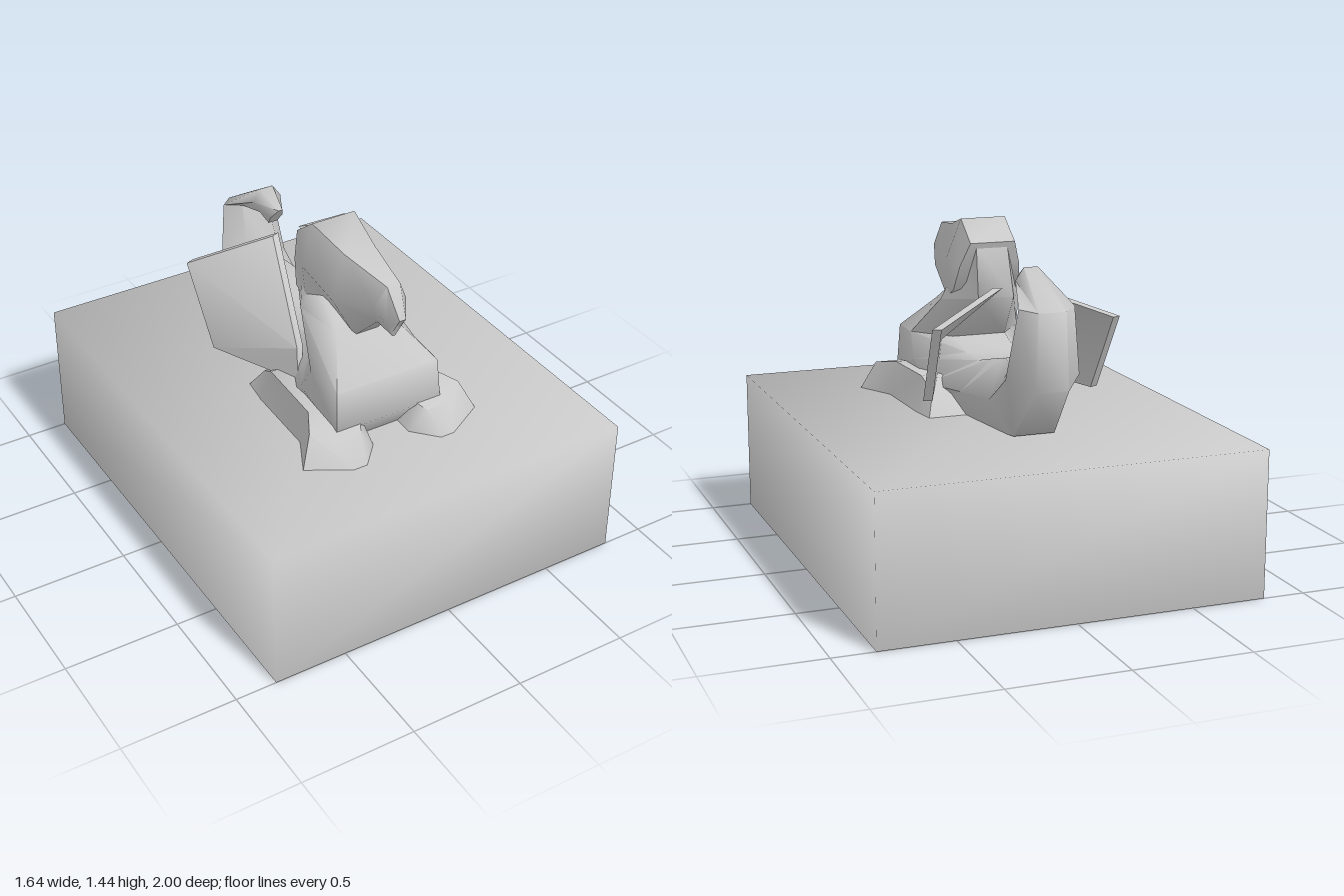
import * as THREE from 'three';
import { mergeVertices, toCreasedNormals } from 'three/addons/utils/BufferGeometryUtils.js';

// Closed mesh from corner points and triangles; winding is turned outward by signed volume.
function solid(points, tris, crease) {
  const v = points.map(p => new THREE.Vector3(...p));
  const volume = tris.reduce((s, [a, b, c]) => s + v[a].dot(v[b].clone().cross(v[c])), 0);
  const index = tris.flatMap(([a, b, c]) => (volume < 0 ? [a, c, b] : [a, b, c]));
  const g = new THREE.BufferGeometry();
  g.setAttribute('position', new THREE.Float32BufferAttribute(points.flat(), 3));
  g.setIndex(index);
  g.computeVertexNormals();
  return crease ? toCreasedNormals(g, crease) : g;
}

// Skin over a row of rings that share the same number of points.
function loft(rings, crease) {
  const n = rings[0].length, last = (rings.length - 1) * n, tris = [];
  for (let r = 0; r < rings.length - 1; r++) {
    for (let i = 0; i < n; i++) {
      const a = r * n + i, b = r * n + (i + 1) % n;
      tris.push([a, b, a + n], [b, b + n, a + n]);
    }
  }
  for (let i = 1; i < n - 1; i++) tris.push([0, i + 1, i], [last, last + i, last + i + 1]);
  return solid(rings.flat(), tris, crease);
}

// Six-sided ring between an upper point and a lower point (z, y), with three half widths.
function ring([az, ay], [bz, by], wa, wm, wb) {
  const mz = (az + bz) / 2, my = (ay + by) / 2;
  return [[wa, ay, az], [wm, my, mz], [wb, by, bz], [-wb, by, bz], [-wm, my, mz], [-wa, ay, az]];
}

export function createModel() {
  const stone = new THREE.MeshStandardMaterial({ color: 0xc8c8c8 });
  stone.name = 'stone grey';
  stone.side = THREE.DoubleSide;
  const model = new THREE.Group();
  const creature = new THREE.Group();
  creature.name = 'creature';
  creature.position.x = -0.025;
  const add = (parent, name, geometry) => {
    const mesh = new THREE.Mesh(geometry, stone);
    mesh.name = name;
    parent.add(mesh);
    return mesh;
  };

  // Plinth: softly shaded box, open underneath
  const box = new THREE.BoxGeometry(1.64, 0.625, 2);
  const idx = Array.from(box.index.array);
  box.setIndex([...idx.slice(0, 18), ...idx.slice(24)]);
  box.clearGroups();
  box.deleteAttribute('normal');
  box.deleteAttribute('uv');
  const plinth = mergeVertices(box);
  plinth.computeVertexNormals();
  add(model, 'plinth', plinth).position.y = 0.3125;

  // Neck, chest, back and curled tail as one skin
  add(creature, 'bodyAndTail', loft([
    ring([0.01, 1.33], [0.30, 1.12], 0.07, 0.11, 0.09),
    ring([-0.04, 1.12], [0.36, 1.06], 0.08, 0.18, 0.13),
    ring([0.17, 0.92], [0.545, 0.91], 0.12, 0.25, 0.24),
    ring([0.02, 0.88], [0.56, 0.73], 0.11, 0.26, 0.25),
    ring([-0.10, 0.87], [0.45, 0.57], 0.10, 0.24, 0.18),
    ring([-0.22, 0.90], [-0.02, 0.59], 0.09, 0.19, 0.13),
    ring([-0.35, 0.93], [-0.475, 0.63], 0.09, 0.17, 0.09),
    ring([-0.455, 0.93], [-0.67, 0.85], 0.08, 0.16, 0.07),
    ring([-0.54, 1.19], [-0.66, 1.17], 0.06, 0.12, 0.06),
    ring([-0.42, 1.21], [-0.43, 1.315], 0.04, 0.065, 0.03),
    ring([-0.38, 1.17], [-0.31, 1.26], 0.02, 0.03, 0.01),
  ], 1.1));

  // Head with raised crest and hooked beak
  add(creature, 'head', loft([
    ring([0.0, 1.35], [0.075, 1.145], 0.10, 0.135, 0.15),
    ring([0.12, 1.44], [0.16, 1.10], 0.10, 0.16, 0.15),
    ring([0.32, 1.39], [0.37, 1.03], 0.07, 0.14, 0.05),
    ring([0.57, 1.36], [0.52, 1.175], 0.03, 0.075, 0.04),
    ring([0.64, 1.235], [0.55, 1.155], 0.015, 0.04, 0.025),
    ring([0.60, 1.18], [0.58, 1.13], 0.008, 0.012, 0.006),
  ], 1.0));

  for (const s of [1, -1]) {
    const side = s > 0 ? 'left' : 'right';

    // Wing: folded five-cornered panel with a thin rim
    const outer = [[0.21, 0.91, 0.18], [0.085, 1.2, -0.23], [0.41, 1.08, -0.4],
      [0.39, 0.745, -0.22], [0.22, 0.76, 0.2]];
    const inner = outer.map(([x, y, z]) => [x - 0.035, y, z - 0.015]);
    const tris = [];
    for (let i = 1; i < 4; i++) tris.push([0, i, i + 1], [5, 6 + i, 5 + i]);
    for (let i = 0; i < 5; i++) {
      const j = (i + 1) % 5;
      tris.push([i, i + 5, j], [j, i + 5, j + 5]);
    }
    add(creature, side + 'Wing',
      solid([...outer, ...inner].map(([x, y, z]) => [s * x, y, z]), tris, 0.8));

    // Leg and splayed foot: [bottom z, top z, top y, outer x low, outer x high, inner x high, inner x low]
    const leg = [
      [-0.06, 0.01, 0.72, 0.31, 0.27, 0.16, 0.12],
      [0.06, 0.10, 0.775, 0.325, 0.29, 0.15, 0.10],
      [0.41, 0.42, 0.77, 0.335, 0.30, 0.13, 0.09],
      [0.58, 0.53, 0.75, 0.42, 0.36, 0.12, 0.085],
      [0.685, 0.60, 0.72, 0.24, 0.27, 0.16, 0.18],
    ].map(([zb, zt, y, ob, ot, it, ib]) => [
      [s * ob, 0.62, zb], [s * ot, y, zt], [s * it, y, zt], [s * ib, 0.62, zb],
    ]);
    add(creature, side + 'Foot', loft(leg, 0.9));
  }

  model.add(creature);
  return model;
}
